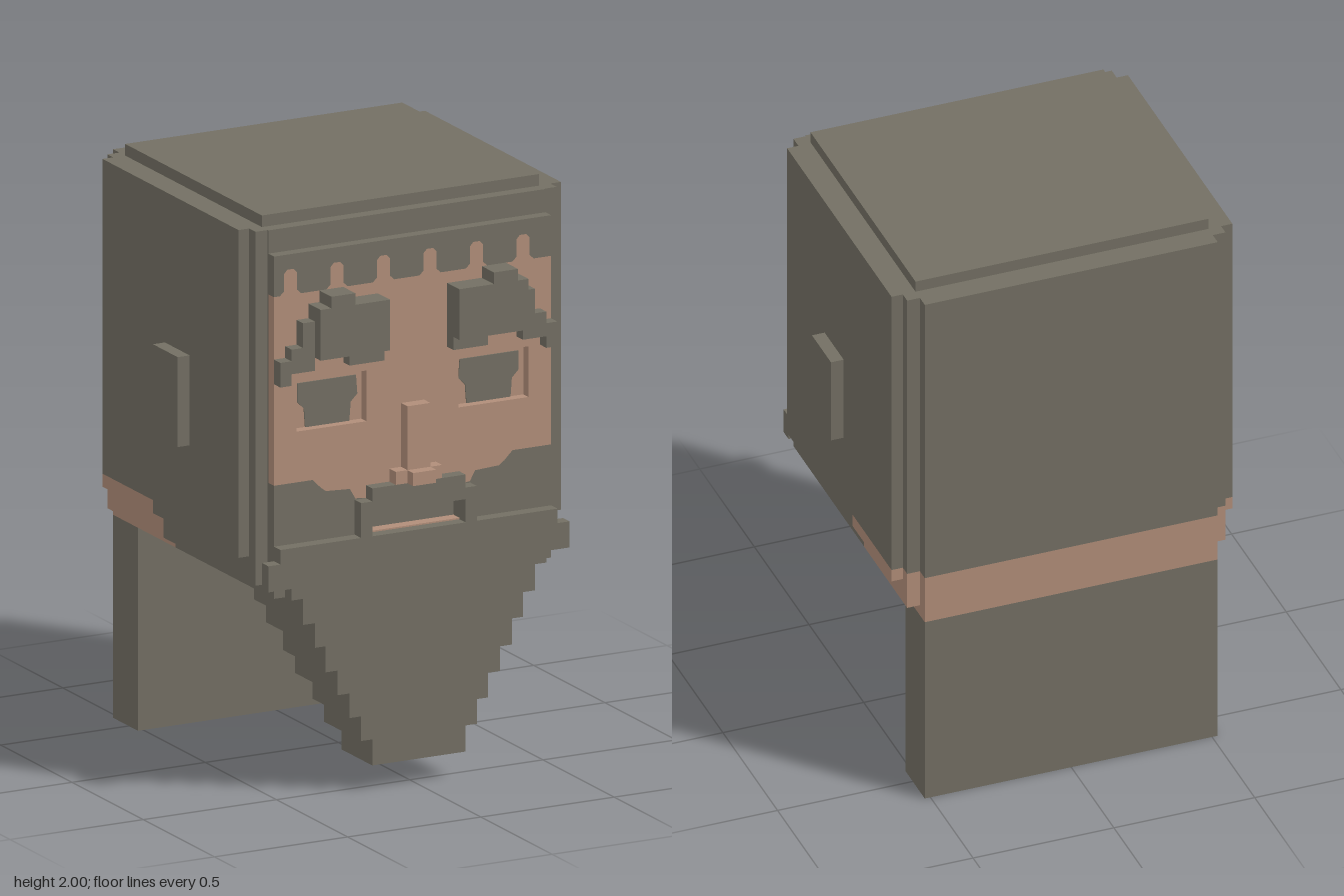
import * as THREE from 'three';

export function createModel() {
  const model = new THREE.Group();
  const hair = new THREE.MeshStandardMaterial({ color: 0x736f63 });
  hair.name = 'grey hair';
  const skin = new THREE.MeshStandardMaterial({ color: 0xb18e79 });
  skin.name = 'skin';

  // Box given by its limits on each axis
  const block = (name, mat, x0, x1, y0, y1, z0, z1) => {
    const mesh = new THREE.Mesh(new THREE.BoxGeometry(x1 - x0, y1 - y0, z1 - z0), mat);
    mesh.position.set((x0 + x1) / 2, (y0 + y1) / 2, (z0 + z1) / 2);
    mesh.name = name;
    model.add(mesh);
  };
  const centred = (name, mat, w, y0, y1, z0, z1) => block(name, mat, -w, w, y0, y1, z0, z1);
  const mirrored = (name, mat, x0, x1, ...rest) => {
    block(name + 'Left', mat, x0, x1, ...rest);
    block(name + 'Right', mat, -x1, -x0, ...rest);
  };
  const points = (list) => list.map(([x, y]) => new THREE.Vector2(x, y));
  const rectHole = (x0, x1, y0, y1) =>
    new THREE.Path(points([[x0, y0], [x0, y1], [x1, y1], [x1, y0]]));
  const panel = (name, mat, outline, holes, z, depth) => {
    const shape = new THREE.Shape(points(outline));
    shape.holes.push(...holes);
    const mesh = new THREE.Mesh(
      new THREE.ExtrudeGeometry(shape, { depth, bevelEnabled: false }), mat);
    mesh.position.z = z;
    mesh.name = name;
    model.add(mesh);
  };

  // Head: nested layers with stepped corners; the nape is skin
  const napeTop = 0.875, napeFront = -0.17;
  for (const [w, back, front, bottom] of [
    [0.605, -0.525, 0.43, 0.83],
    [0.565, -0.565, 0.475, 0.74],
    [0.52, -0.61, 0.48, 0.70],
  ]) {
    centred('head', hair, w, napeTop, 1.96, back, front);
    centred('jaw', hair, w, bottom, napeTop, napeFront, front);
    centred('nape', skin, w, bottom, napeTop, back, napeFront);
  }
  centred('crown', hair, 0.52, 1.96, 2, -0.525, 0.435);
  centred('backHair', hair, 0.52, 0, 0.70, -0.61, -0.435);
  mirrored('ear', hair, 0.605, 0.65, 1.13, 1.44, -0.087, 0.087);

  // Hairline with small notches, left to right
  const hairline = [[-0.52, 1.74]];
  for (let i = 0; i < 6; i++) {
    const x = -0.458 + i * 0.1745;
    hairline.push([x - 0.04, 1.74], [x - 0.024, 1.755], [x - 0.024, 1.815], [x - 0.012, 1.828],
      [x + 0.012, 1.828], [x + 0.024, 1.815], [x + 0.024, 1.755], [x + 0.04, 1.74]);
  }
  hairline.push([0.52, 1.74]);

  // Upper edge of the cheek beard, left to right
  const half = [[0.52, 1.09], [0.375, 1.09], [0.345, 1.06], [0.325, 1.045],
    [0.235, 1.04], [0.215, 1.005], [0.17, 1.0]];
  const cheekLine = [...half.map(([x, y]) => [-x, y]), ...[...half].reverse()];

  // Face panels
  const eyeHoles = [rectHole(0.173, 0.435, 1.265, 1.44), rectHole(-0.435, -0.173, 1.265, 1.44)];
  panel('face', skin, [...cheekLine, ...[...hairline].reverse()], eyeHoles, 0.48, 0.04);
  panel('fringe', hair, [...hairline, [0.52, 1.88], [-0.52, 1.88]], [], 0.48, 0.04);
  panel('cheekBeard', hair, [[-0.52, 0.70], [0.52, 0.70], ...[...cheekLine].reverse()],
    [rectHole(-0.175, 0.175, 0.88, 0.96)], 0.48, 0.04);
  centred('lowerLip', skin, 0.175, 0.88, 0.885, 0.48, 0.522);

  // Recessed eyes
  mirrored('eyeSocket', skin, 0.173, 0.435, 1.265, 1.44, 0.479, 0.484);
  for (const s of [1, -1]) {
    const outline = [[0.22, 1.265], [0.385, 1.265], [0.39, 1.33], [0.415, 1.355],
      [0.415, 1.42], [0.195, 1.42], [0.19, 1.355], [0.215, 1.33]];
    panel(s > 0 ? 'irisLeft' : 'irisRight', hair, outline.map(([x, y]) => [s * x, y]), [], 0.484, 0.004);
  }

  // Bushy stepped eyebrows
  for (const [x0, x1, y0, y1, z] of [
    [0.13, 0.39, 1.525, 1.70, 0.605],
    [0.26, 0.35, 1.70, 1.74, 0.605],
    [0.13, 0.26, 1.48, 1.525, 0.565],
    [0.39, 0.435, 1.48, 1.65, 0.565],
    [0.435, 0.478, 1.48, 1.565, 0.565],
    [0.478, 0.52, 1.44, 1.525, 0.565],
  ]) mirrored('eyebrow', hair, x0, x1, y0, y1, 0.52, z);

  // Nose
  centred('noseBridge', skin, 0.043, 1.09, 1.31, 0.52, 0.565);
  centred('nostrils', skin, 0.087, 1.045, 1.09, 0.52, 0.565);
  centred('noseTip', skin, 0.043, 1.045, 1.09, 0.565, 0.605);

  // Moustache around the mouth
  centred('moustacheTop', hair, 0.175, 1.0, 1.045, 0.52, 0.565);
  centred('moustache', hair, 0.217, 0.96, 1.0, 0.52, 0.565);
  mirrored('moustacheEnd', hair, 0.175, 0.217, 0.88, 0.96, 0.52, 0.565);

  // Beard: rows narrow downwards, the back edge steps forward
  for (const [w, bottom, top, back] of [
    [0.52, 0.83, 0.88, 0.52],
    [0.565, 0.74, 0.83, 0.52],
    [0.478, 0.70, 0.74, 0.52],
    [0.435, 0.61, 0.70, 0.22],
    [0.39, 0.525, 0.61, 0.22],
    [0.35, 0.435, 0.525, 0.265],
    [0.305, 0.35, 0.435, 0.265],
    [0.26, 0.265, 0.35, 0.305],
    [0.217, 0.18, 0.265, 0.305],
    [0.175, 0.09, 0.18, 0.35],
  ]) centred('beard', hair, w, bottom, top, back, 0.565);

  return model;
}
